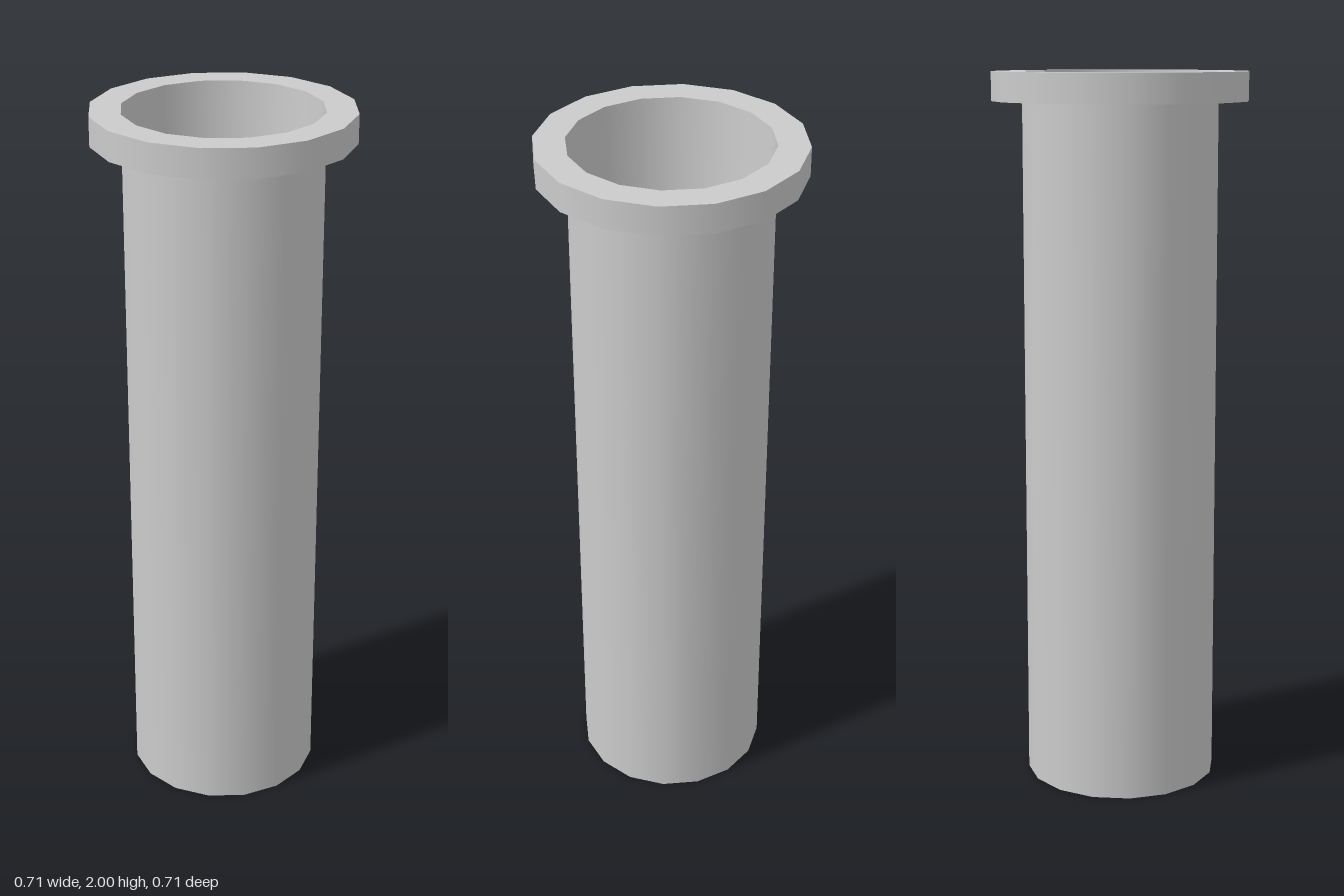
import * as THREE from 'three';

const SIDES = 16;
const TUBE_R = 0.27, RIM_R = 0.354, FLOOR_R = 0.218;
const TOP = 2, RIM_BOTTOM = 1.92, FLOOR_Y = 0.7;

export function createModel() {
  const group = new THREE.Group();
  const material = new THREE.MeshStandardMaterial({ color: 0xcccccc, side: THREE.DoubleSide });

  // One smooth band of revolution between two [radius, height] points;
  // separate bands keep the edges between them sharp.
  const band = (name, from, to) => {
    const points = [from, to].map(([r, y]) => new THREE.Vector2(r, y));
    const mesh = new THREE.Mesh(new THREE.LatheGeometry(points, SIDES), material);
    mesh.name = name;
    group.add(mesh);
  };

  // Open-bottomed outer tube
  band('tubeWall', [TUBE_R, 0], [TUBE_R, RIM_BOTTOM]);

  // Flange around the mouth
  band('rimUnderside', [TUBE_R, RIM_BOTTOM], [RIM_R, RIM_BOTTOM]);
  band('rimSide', [RIM_R, RIM_BOTTOM], [RIM_R, TOP]);
  band('rimTop', [RIM_R, TOP], [TUBE_R, TOP]);

  // Tapering inside wall and its floor
  band('innerWall', [TUBE_R, TOP], [FLOOR_R, FLOOR_Y]);
  const floor = new THREE.Mesh(new THREE.CircleGeometry(FLOOR_R, SIDES), material);
  floor.name = 'innerFloor';
  floor.rotation.x = -Math.PI / 2;
  floor.position.y = FLOOR_Y;
  group.add(floor);

  return group;
}
